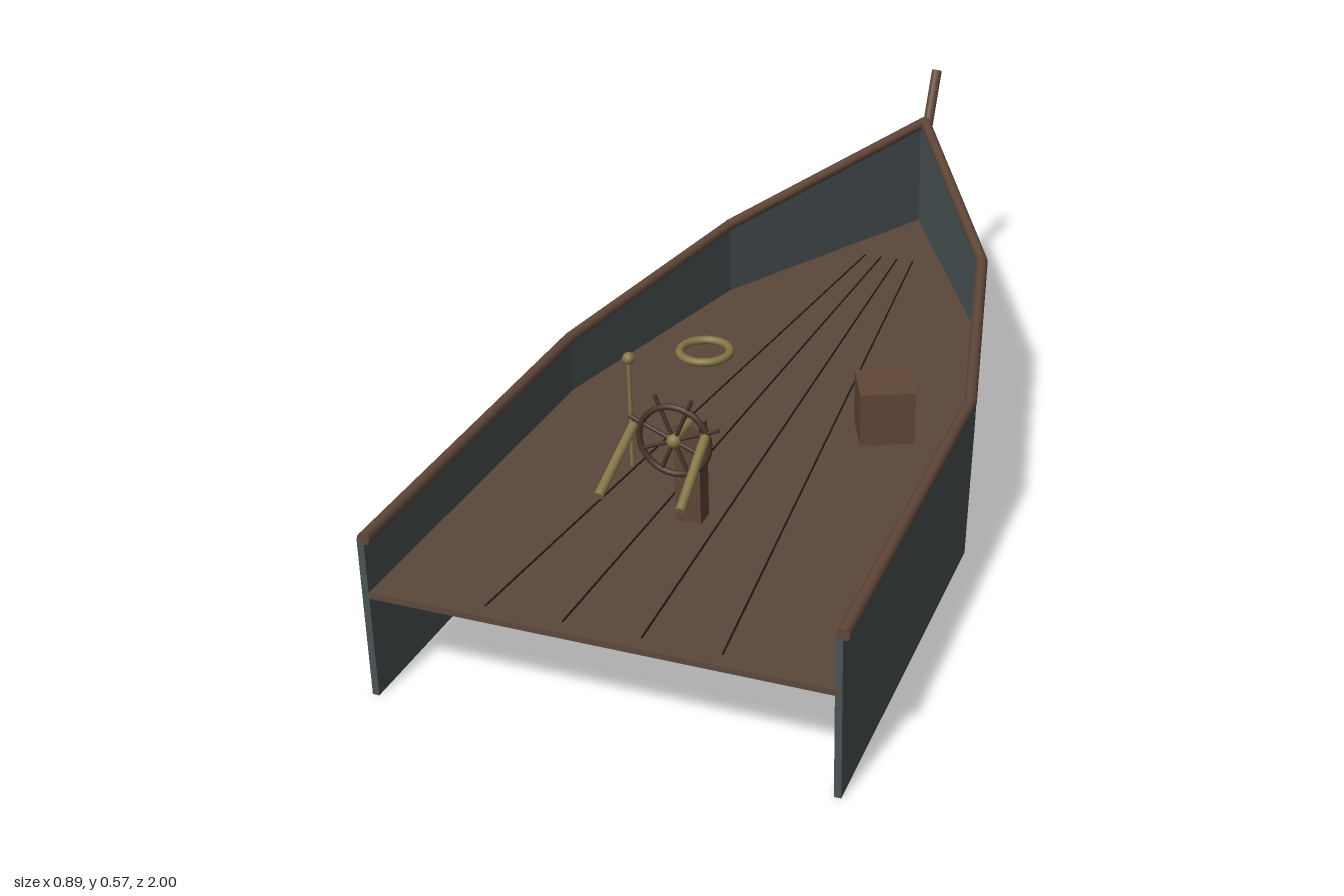
import * as THREE from 'three';

const material = (name, color) => new THREE.MeshStandardMaterial({ name, color });

export function createModel() {
  const slate = material('slate hull', 0x4a5355);
  const planks = material('deck wood', 0x5b483c);
  const wood = material('trim wood', 0x604638);
  const darkWood = material('wheel wood', 0x46342b);
  const seam = material('seam black', 0x1e1a18);
  const brass = material('brass', 0x857545);

  const ship = new THREE.Group();
  ship.name = 'ship';

  const add = (name, geometry, mat, parent = ship, x = 0, y = 0, z = 0) => {
    const mesh = new THREE.Mesh(geometry, mat);
    mesh.name = name;
    mesh.position.set(x, y, z);
    parent.add(mesh);
    return mesh;
  };

  // Round bar between two points
  const bar = (name, a, b, radius, mat, parent = ship, sides = 10) => {
    const from = new THREE.Vector3(...a);
    const to = new THREE.Vector3(...b);
    const mesh = add(name, new THREE.CylinderGeometry(radius, radius, from.distanceTo(to), sides), mat, parent);
    mesh.position.copy(from).add(to).multiplyScalar(0.5);
    mesh.quaternion.setFromUnitVectors(new THREE.Vector3(0, 1, 0), to.sub(from).normalize());
    return mesh;
  };

  // Sheer line from stern to bow: half width, height, z
  const sheer = [
    [0.433, 0.325, 1],
    [0.418, 0.335, 0.19],
    [0.288, 0.375, -0.365],
    [0, 0.463, -0.9],
  ];
  const wallThickness = 0.013;

  // Wall panel: a box stretched between two stations
  const wallPanel = (a, b) => {
    const geometry = new THREE.BoxGeometry(1, 1, 1);
    const p = geometry.attributes.position;
    for (let i = 0; i < p.count; i++) {
      const end = p.getZ(i) > 0 ? a : b;
      p.setXYZ(i, end[0] - (p.getX(i) > 0 ? 0 : wallThickness), p.getY(i) > 0 ? end[1] : 0, end[2]);
    }
    geometry.computeVertexNormals();
    return geometry;
  };

  for (const side of [-1, 1]) {
    const line = sheer.map(([x, y, z]) => [side * x, y, z]);
    for (let i = 0; i < line.length - 1; i++) {
      add('hullWall', wallPanel(line[i], line[i + 1]), slate);
      bar('rail', line[i], line[i + 1], 0.012, wood);
    }
  }

  // Deck
  const outline = [
    ...sheer.map(([x, , z]) => new THREE.Vector2(x - 0.001, -z)),
    ...sheer.slice(0, 3).reverse().map(([x, , z]) => new THREE.Vector2(-x, -z)),
  ];
  const deck = new THREE.ExtrudeGeometry(new THREE.Shape(outline), { depth: 0.012, bevelEnabled: false });
  deck.rotateX(-Math.PI / 2);
  add('deck', deck, planks, ship, 0, 0.204, 0);

  // Plank seams fanning out towards the stern
  for (const k of [-1.5, -0.5, 0.5, 1.5]) {
    bar('plankSeam', [k * 0.038, 0.225, -0.63], [k * 0.145, 0.225, 0.98], 0.0018, seam, ship, 6);
  }

  // Bowsprit
  bar('bowsprit', [0, 0.402, -0.9], [0, 0.56, -0.989], 0.012, wood, ship, 12);

  // Steering stand
  add('wheelStand', new THREE.BoxGeometry(0.05, 0.2, 0.04), wood, ship, 0, 0.315, 0.575);
  bar('wheelShaft', [0, 0.415, 0.575], [0, 0.415, 0.65], 0.008, brass);

  // Steering wheel, upper spokes reach past the rim
  const wheel = new THREE.Group();
  wheel.name = 'steeringWheel';
  wheel.position.set(0, 0.415, 0.65);
  ship.add(wheel);
  add('wheelRim', new THREE.TorusGeometry(0.067, 0.006, 8, 32), darkWood, wheel);
  add('wheelHub', new THREE.SphereGeometry(0.014, 16, 12), brass, wheel);
  for (let i = 0; i < 8; i++) {
    const angle = (i + 0.5) * Math.PI / 4;
    const reach = i < 4 ? 0.092 : 0.068;
    bar('spoke', [0, 0, 0], [Math.cos(angle) * reach, Math.sin(angle) * reach, 0], 0.004, darkWood, wheel, 8);
  }
  for (const side of [-1, 1]) {
    bar('wheelGrip', [side * 0.068, 0.03, 0.02], [side * 0.076, -0.04, 0.16], 0.009, brass, wheel);
  }

  // Crate
  const crate = add('crate', new THREE.BoxGeometry(0.108, 0.11, 0.108), wood, ship, 0.234, 0.271, 0.147);
  crate.rotation.y = 0.42;

  // Ring lying on the deck
  const ring = add('deckRing', new THREE.TorusGeometry(0.053, 0.009, 10, 32), brass, ship, -0.218, 0.231, -0.035);
  ring.rotation.x = Math.PI / 2;

  // Post with ball top
  bar('post', [-0.18, 0.215, 0.435], [-0.18, 0.445, 0.435], 0.004, brass);
  add('postBall', new THREE.SphereGeometry(0.012, 16, 12), brass, ship, -0.18, 0.445, 0.435);

  return ship;
}
